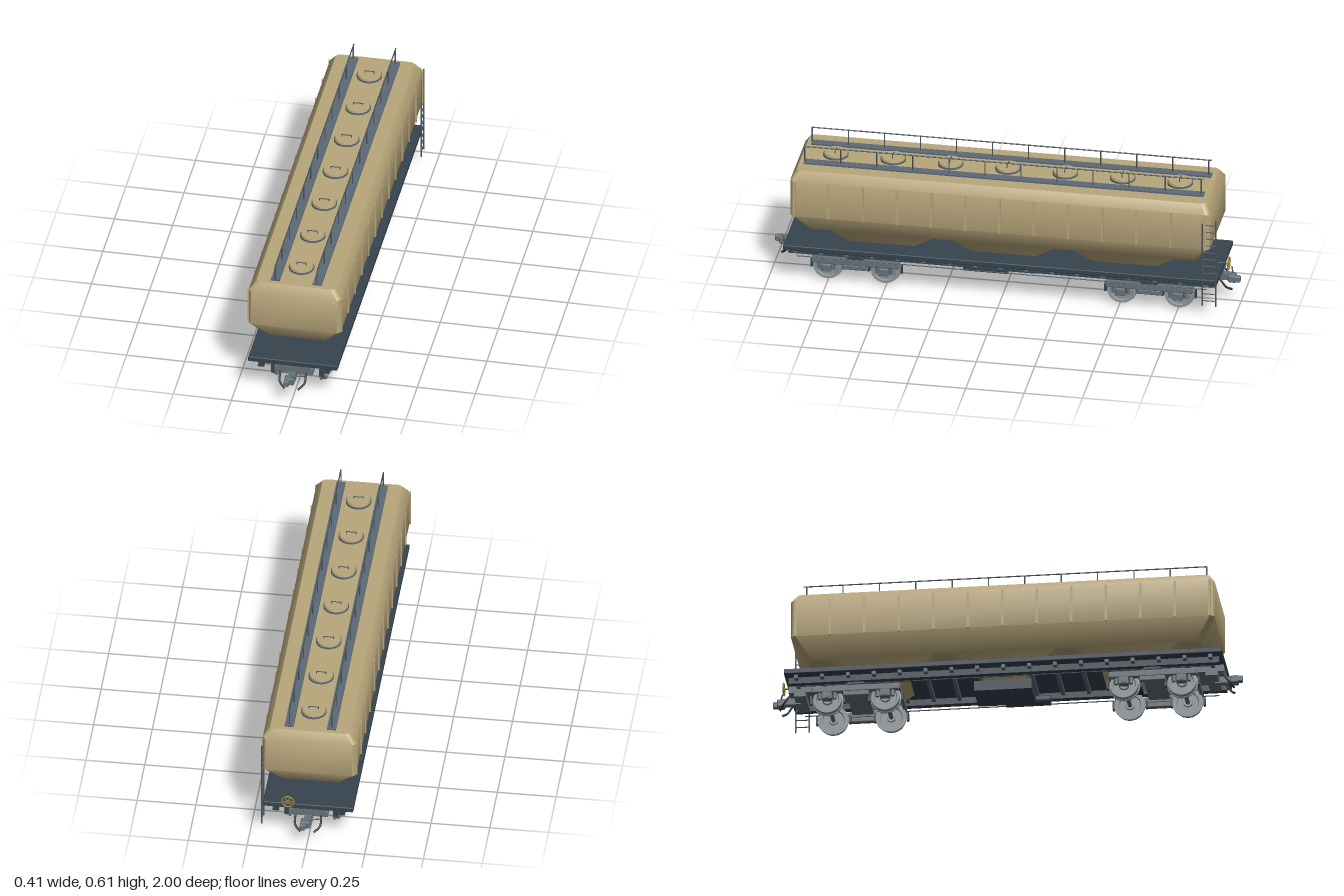
import * as THREE from 'three';
import { toCreasedNormals } from 'three/addons/utils/BufferGeometryUtils.js';
import { RoundedBoxGeometry } from 'three/addons/geometries/RoundedBoxGeometry.js';

const paint = (name, color) => Object.assign(new THREE.MeshStandardMaterial({ color }), { name });
const tan = paint('tan paint', 0xb9a77c);
const deckBlue = paint('deck blue', 0x36444f);
const walkGrey = paint('walkway grey', 0x5c6a77);
const steel = paint('bogie steel', 0x66737b);
const rim = paint('wheel steel', 0x8f989c);
const rail = paint('railing grey', 0x4c5860);
const black = paint('dark rubber', 0x2b3136);
const brass = paint('hand wheel yellow', 0x9c8428);

function add(parent, name, geometry, material, x = 0, y = 0, z = 0) {
  const mesh = new THREE.Mesh(geometry, material);
  mesh.name = name;
  mesh.position.set(x, y, z);
  parent.add(mesh);
  return mesh;
}

// Box given by its limits on each axis
function box(parent, name, material, [x0, x1], [y0, y1], [z0, z1], round = 0) {
  const size = [x1 - x0, y1 - y0, z1 - z0];
  const geometry = round ? new RoundedBoxGeometry(...size, 2, round) : new THREE.BoxGeometry(...size);
  return add(parent, name, geometry, material, (x0 + x1) / 2, (y0 + y1) / 2, (z0 + z1) / 2);
}

// Straight round bar between two points
function bar(parent, name, material, a, b, r, sides = 8) {
  const start = new THREE.Vector3(...a), end = new THREE.Vector3(...b);
  const dir = end.clone().sub(start);
  const mesh = add(parent, name, new THREE.CylinderGeometry(r, r, dir.length(), sides), material);
  mesh.position.copy(start).add(end).multiplyScalar(0.5);
  mesh.quaternion.setFromUnitVectors(new THREE.Vector3(0, 1, 0), dir.normalize());
  return mesh;
}

// Closed solid through rounded rectangles stacked upward: [y, halfWidth, halfLength]
function stack(levels, radius, crease) {
  const rings = levels.map(([y, w, l]) => {
    const ring = [];
    [[1, -1], [-1, -1], [-1, 1], [1, 1]].forEach(([sx, sz], corner) => {
      for (let k = 0; k <= 4; k++) {
        const a = (corner + k / 4) * Math.PI / 2;
        ring.push([sx * (w - radius) + radius * Math.cos(a), y, sz * (l - radius) - radius * Math.sin(a)]);
      }
    });
    return ring;
  });
  const p = [], n = rings[0].length, last = rings.length - 1;
  for (let i = 0; i < n; i++) {
    const j = (i + 1) % n;
    for (let k = 0; k < last; k++) {
      const a = rings[k], b = rings[k + 1];
      p.push(...a[i], ...a[j], ...b[j], ...a[i], ...b[j], ...b[i]);
    }
    p.push(0, levels[last][0], 0, ...rings[last][i], ...rings[last][j]);
    p.push(0, levels[0][0], 0, ...rings[0][j], ...rings[0][i]);
  }
  const geometry = new THREE.BufferGeometry();
  geometry.setAttribute('position', new THREE.Float32BufferAttribute(p, 3));
  geometry.computeVertexNormals();
  return toCreasedNormals(geometry, crease);
}

function createBogie() {
  const bogie = new THREE.Group();
  bogie.name = 'bogie';
  // Wheel section turned about the axle: hub, web, rim and flange
  const profile = [[0, 0.02], [0.02, 0.02], [0.023, 0.012], [0.046, 0.012], [0.049, 0.02],
    [0.06, 0.02], [0.061, 0.002], [0.066, 0], [0.066, -0.006], [0.048, -0.006], [0.045, 0], [0.02, 0], [0.018, -0.006], [0, -0.006]]
    .map(([r, h]) => new THREE.Vector2(r, h)).reverse();
  const wheelGeometry = toCreasedNormals(new THREE.LatheGeometry(profile, 32), 0.6);
  for (const z of [-0.123, 0.123]) {
    bar(bogie, 'axle', steel, [-0.14, 0.066, z], [0.14, 0.066, z], 0.009, 16);
    for (const s of [-1, 1]) {
      add(bogie, 'wheel', wheelGeometry, rim, s * 0.098, 0.066, z).rotation.z = -s * Math.PI / 2;
      box(bogie, 'axleBox', steel, [s * 0.136 - 0.016, s * 0.136 + 0.016], [0.054, 0.089], [z - 0.022, z + 0.022], 0.005);
      bar(bogie, 'axleCap', steel, [s * 0.15, 0.07, z], [s * 0.156, 0.07, z], 0.013, 16);
      for (const d of [-1, 1]) {
        bar(bogie, 'axleSpring', steel, [s * 0.134, 0.06, z + d * 0.032], [s * 0.134, 0.095, z + d * 0.032], 0.008, 10);
        box(bogie, 'brakeShoe', deckBlue, [s * 0.103 - 0.01, s * 0.103 + 0.01], [0.052, 0.088], [z + d * 0.07 - 0.004, z + d * 0.07 + 0.004]);
      }
    }
  }
  for (const s of [-1, 1]) {
    const x = [s * 0.134 - 0.012, s * 0.134 + 0.012];
    box(bogie, 'sideFrame', steel, x, [0.088, 0.116], [-0.187, 0.187], 0.005);
    box(bogie, 'springSeat', steel, x, [0.068, 0.09], [-0.055, 0.055], 0.004);
    box(bogie, 'sideBearer', deckBlue, [s * 0.134 - 0.009, s * 0.134 + 0.009], [0.114, 0.14], [-0.035, 0.035]);
  }
  box(bogie, 'bolster', steel, [-0.13, 0.13], [0.1, 0.126], [-0.045, 0.045]);
  box(bogie, 'pivotPlate', steel, [-0.035, 0.035], [0.12, 0.16], [-0.035, 0.035]);
  for (const z of [-0.18, 0.18]) box(bogie, 'endBeam', steel, [-0.125, 0.125], [0.1, 0.115], [z - 0.007, z + 0.007]);
  return bogie;
}

function createCoupler() {
  const end = new THREE.Group();
  end.name = 'coupler';
  box(end, 'draftSill', steel, [-0.066, 0.066], [0.13, 0.16], [0.62, 0.925]);
  box(end, 'draftBox', steel, [-0.085, 0.08], [0.105, 0.127], [0.85, 0.9]);
  box(end, 'couplerShank', steel, [-0.015, 0.015], [0.1, 0.128], [0.88, 0.96]);
  box(end, 'couplerHead', steel, [-0.027, 0.014], [0.095, 0.128], [0.948, 0.98], 0.005);
  box(end, 'couplerJaw', steel, [-0.027, -0.004], [0.098, 0.125], [0.97, 1], 0.005);
  for (const s of [-1, 1]) {
    const path = new THREE.CatmullRomCurve3([[0.054, 0.145, 0.9], [0.055, 0.115, 0.925], [0.053, 0.088, 0.945], [0.028, 0.067, 0.965]]
      .map(([x, y, z]) => new THREE.Vector3(s * x, y, z)));
    add(end, 'brakeHose', new THREE.TubeGeometry(path, 12, 0.0045, 8), black);
  }
  bar(end, 'uncouplingLever', rail, [0, 0.13, 0.965], [0.055, 0.13, 0.95], 0.003);
  return end;
}

export function createModel() {
  const wagon = new THREE.Group();
  wagon.name = 'hopperWagon';

  // Body, ribs and discharge hoppers
  add(wagon, 'body', stack([[0.243, 0.135, 0.835], [0.33, 0.198, 0.9], [0.495, 0.198, 0.9], [0.534, 0.169, 0.877]], 0.02, 0.7), tan);
  for (let i = -6; i <= 6; i++) {
    for (const s of [-1, 1]) box(wagon, 'sideRib', tan, [s * 0.199 - 0.005, s * 0.199 + 0.005], [0.33, 0.496], [i * 0.1467 - 0.005, i * 0.1467 + 0.005]);
  }
  const hopper = stack([[0.105, 0.058, 0.045], [0.183, 0.1, 0.14], [0.245, 0.136, 0.222]], 0.004, 0.5);
  for (const z of [-0.52, 0, 0.52]) {
    add(wagon, 'hopper', hopper, tan, 0, 0, z);
    box(wagon, 'hopperGate', black, [-0.06, 0.06], [0.097, 0.106], [z - 0.05, z + 0.05]);
  }

  // Roof hatches
  for (let i = -3; i <= 3; i++) {
    const hatch = new THREE.Group();
    hatch.name = 'roofHatch';
    hatch.position.z = i * 0.246;
    add(hatch, 'hatchRing', new THREE.CylinderGeometry(0.054, 0.054, 0.01, 32), walkGrey, 0, 0.537);
    add(hatch, 'hatchLid', new THREE.CylinderGeometry(0.049, 0.051, 0.008, 32), tan, 0, 0.546);
    for (const s of [-1, 1]) bar(hatch, 'handleLeg', rail, [s * 0.02, 0.549, 0], [s * 0.02, 0.56, 0], 0.002, 6);
    bar(hatch, 'handleGrip', rail, [-0.022, 0.56, 0], [0.022, 0.56, 0], 0.002, 6);
    wagon.add(hatch);
  }

  // Walkways with railings
  for (const x of [-0.09, 0.09]) {
    box(wagon, 'walkway', walkGrey, [x - 0.019, x + 0.019], [0.533, 0.541], [-0.857, 0.857]);
    bar(wagon, 'handrail', rail, [x, 0.608, -0.857], [x, 0.608, 0.857], 0.0027);
    for (let i = 0; i < 12; i++) {
      const z = 0.855 - i * 0.1545;
      bar(wagon, 'railPost', rail, [x, 0.54, z], [x, 0.608, z], 0.0027);
    }
  }

  // Deck and underframe
  box(wagon, 'deck', deckBlue, [-0.192, 0.192], [0.161, 0.184], [-0.93, 0.93], 0.004);
  for (const s of [-1, 1]) {
    box(wagon, 'longSill', deckBlue, [s * 0.14 - 0.009, s * 0.14 + 0.009], [0.135, 0.162], [-0.915, 0.915]);
    box(wagon, 'sillFlange', deckBlue, [s * 0.14 - 0.014, s * 0.14 + 0.014], [0.131, 0.137], [-0.915, 0.915]);
    bar(wagon, 'brakePipe', rail, [s * 0.15, 0.118, -0.88], [s * 0.15, 0.118, 0.88], 0.0025, 6);
  }
  for (let i = -8; i <= 8; i++) box(wagon, 'crossMember', walkGrey, [-0.178, 0.178], [0.146, 0.162], [i * 0.11 - 0.008, i * 0.11 + 0.008]);
  box(wagon, 'brakeBox', deckBlue, [-0.08, 0.08], [0.09, 0.135], [-0.135, 0.11]);
  bar(wagon, 'airTank', deckBlue, [0.105, 0.115, -0.02], [0.105, 0.115, 0.17], 0.022, 20);

  // Running gear and couplers at both ends
  for (const s of [-1, 1]) {
    const bogie = createBogie();
    bogie.position.z = s * 0.63;
    const coupler = createCoupler();
    coupler.rotation.y = s > 0 ? 0 : Math.PI;
    wagon.add(bogie, coupler);
  }

  // Ladder at the rear left corner
  bar(wagon, 'ladderRail', rail, [0.197, 0.066, -0.868], [0.197, 0.455, -0.868], 0.0035);
  bar(wagon, 'ladderRail', rail, [0.197, 0.066, -0.926], [0.197, 0.472, -0.926], 0.0035);
  for (let i = 0; i < 12; i++) bar(wagon, 'ladderRung', rail, [0.197, 0.09 + i * 0.0325, -0.868], [0.197, 0.09 + i * 0.0325, -0.926], 0.0025, 6);

  // Hand brake wheel at the rear
  const wheel = new THREE.Group();
  wheel.name = 'handBrake';
  wheel.position.set(0.082, 0.217, -0.962);
  add(wheel, 'handWheelRim', new THREE.TorusGeometry(0.026, 0.0032, 8, 28), brass);
  for (let i = 0; i < 3; i++) {
    const a = i * Math.PI / 3, c = 0.026 * Math.cos(a), d = 0.026 * Math.sin(a);
    bar(wheel, 'handWheelSpoke', brass, [-c, -d, 0], [c, d, 0], 0.0022, 6);
  }
  bar(wheel, 'handWheelHub', brass, [0, 0, -0.004], [0, 0, 0.006], 0.006, 12);
  bar(wheel, 'handBrakeShaft', rail, [0, 0, 0], [0, 0, 0.045], 0.003);
  bar(wheel, 'handBrakeStand', rail, [0, 0, 0.045], [0, -0.036, 0.045], 0.004);
  wagon.add(wheel);

  return wagon;
}
